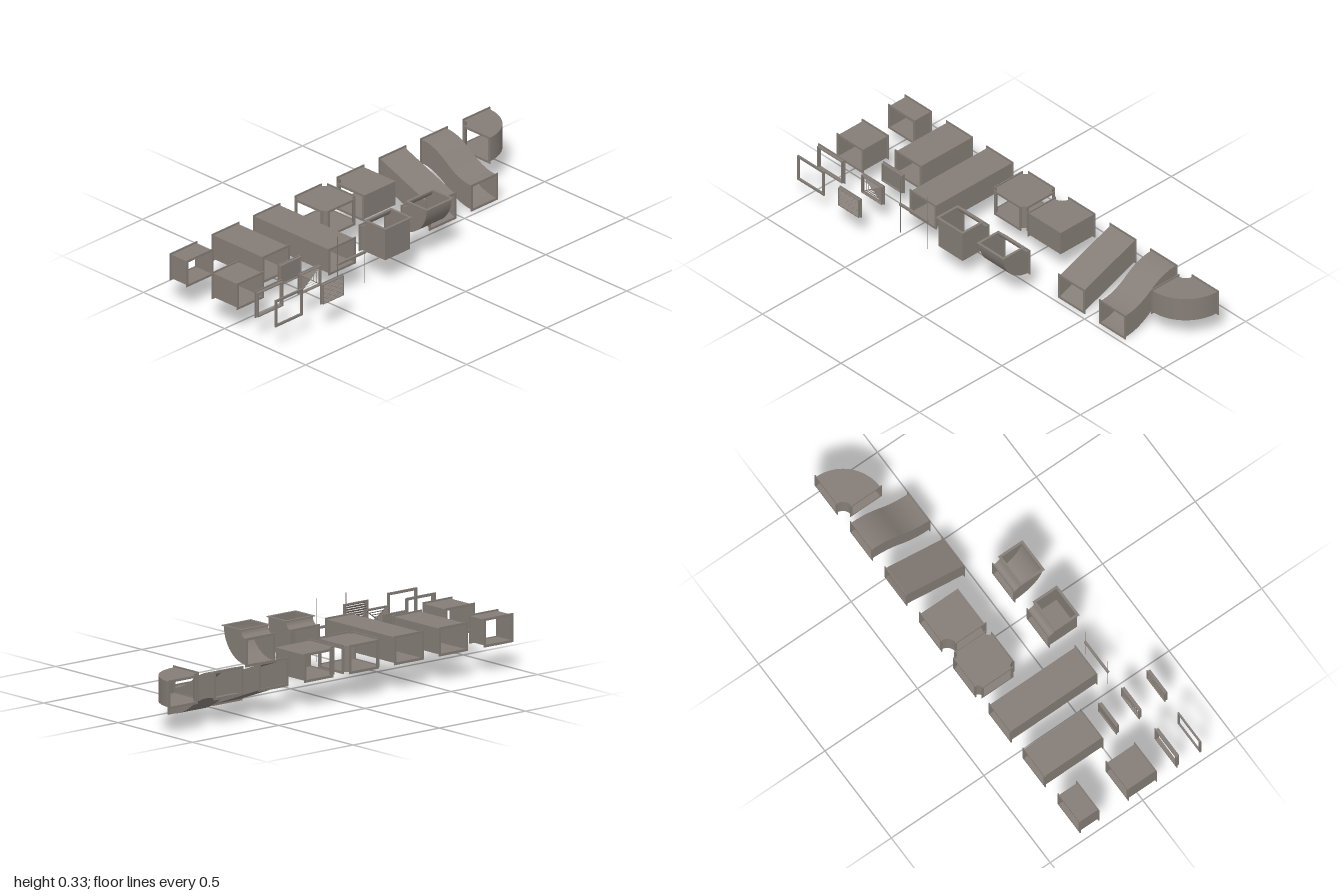
import * as THREE from 'three';
import { toCreasedNormals } from 'three/addons/utils/BufferGeometryUtils.js';

const metal = new THREE.MeshStandardMaterial({ color: 0x857d77, side: THREE.DoubleSide });
metal.name = 'galvanised metal';

const W = 0.155, H = 0.116, LIP = 0.0075; // duct width, height, flange overhang
const MID = 0.185; // height of the duct centre line

function add(parent, name, geometry, x = 0, y = 0, z = 0) {
  const mesh = new THREE.Mesh(geometry, metal);
  mesh.name = name;
  mesh.position.set(x, y, z);
  parent.add(mesh);
  return mesh;
}

// Rectangular ring, centred, lying across z
function ring(w, h, band, thick) {
  const rect = (S, a, b) => new S([[-a, -b], [a, -b], [a, b], [-a, b]].map(p => new THREE.Vector2(...p)));
  const shape = rect(THREE.Shape, w / 2, h / 2);
  shape.holes.push(rect(THREE.Path, w / 2 - band, h / 2 - band));
  return new THREE.ExtrudeGeometry(shape, { depth: thick, bevelEnabled: false }).translate(0, 0, -thick / 2);
}

function arc(cx, cy, r, a0, a1, n = 14) {
  return Array.from({ length: n + 1 }, (_, i) => {
    const a = a0 + (a1 - a0) * i / n;
    return [cx + r * Math.cos(a), cy + r * Math.sin(a)];
  });
}

// Sheet wall following a plan line, spanning the duct depth
function ribbon(points, depth) {
  const g = new THREE.PlaneGeometry(1, 1, points.length - 1, 1);
  const pos = g.attributes.position, n = points.length;
  for (let i = 0; i < pos.count; i++) {
    const [x, y] = points[i % n];
    pos.setXYZ(i, x, y, i < n ? depth / 2 : -depth / 2);
  }
  return toCreasedNormals(g, 0.6);
}

// Duct from wall lines in order round its plan; each gap between walls is a flanged opening
function duct(name, walls, depth) {
  const group = new THREE.Group();
  group.name = name;
  const outline = new THREE.Shape(walls.flat().map(p => new THREE.Vector2(...p)));
  for (const s of [-1, 1]) add(group, 'flatSide', new THREE.ShapeGeometry(outline), 0, 0, s * depth / 2);
  walls.forEach((wall, i) => {
    add(group, 'wall', ribbon(wall, depth));
    const a = new THREE.Vector3(...wall[wall.length - 1], 0);
    const b = new THREE.Vector3(...walls[(i + 1) % walls.length][0], 0);
    const size = a.distanceTo(b);
    const dir = b.clone().sub(a).normalize(), up = new THREE.Vector3(0, 0, 1);
    const g = ring(size + 2 * LIP, depth + 2 * LIP, LIP + 0.004, 0.004);
    g.applyMatrix4(new THREE.Matrix4().makeBasis(dir, up, dir.clone().cross(up)));
    const c = a.add(b).multiplyScalar(0.5);
    add(group, 'flange', g, c.x, c.y, 0);
  });
  return group;
}

// Quarter turn about the origin, rounded or square outside
function bendWalls(outer, inner, square) {
  const q = -Math.PI / 2;
  return [
    square ? [[outer, 0], [outer, -outer], [0, -outer]] : arc(0, 0, outer, 0, q, 20),
    arc(0, 0, inner, q, 0),
  ];
}

function crossWalls(half, w) {
  const walls = [];
  for (let k = 0; k < 4; k++) {
    const c = Math.round(Math.cos(k * Math.PI / 2)), s = Math.round(Math.sin(k * Math.PI / 2));
    walls.push(arc(half, half, half - w, 1.5 * Math.PI, Math.PI, 8)
      .map(([x, y]) => [x * c - y * s, x * s + y * c]));
  }
  return walls;
}

// Drop between two levels, straight or S-curved
function offsetWalls(curved) {
  const n = curved ? 24 : 1;
  const low = Array.from({ length: n + 1 }, (_, i) => {
    const t = i / n;
    const s = !curved ? t : t < 0.5 ? 2 * t * t : 1 - 2 * (1 - t) ** 2;
    return [-0.027 - 0.31 * t, 0.0085 + 0.1185 * s];
  });
  return [low, low.map(([z, y]) => [z, y + H]).reverse()];
}

export function createModel() {
  const model = new THREE.Group();
  model.name = 'ductKit';
  // Plan lies flat (u = x, v = -z)
  const flat = (name, walls, x, z = 0) => {
    const d = duct(name, walls, H);
    d.rotation.x = -Math.PI / 2;
    d.position.set(x, MID, z);
    model.add(d);
  };
  // Plan stands upright (u = z, v = y)
  const upright = (name, walls, x, y = 0, z = 0) => {
    const d = duct(name, walls, W);
    d.rotation.y = -Math.PI / 2;
    d.position.set(x, y, z);
    model.add(d);
  };

  // Straight ducts
  for (const [name, x, back, front] of [
    ['shortDuct', -0.915, -0.337, -0.237], ['mediumDuct', -0.915, -0.077, 0.075],
    ['longDuct', -0.652, -0.337, -0.027], ['longestDuct', -0.395, -0.337, 0.127],
  ]) {
    const w = W / 2;
    flat(name, [[[-w, -front], [-w, -back]], [[w, -back], [w, -front]]], x);
  }

  // Junction, level bends, rising bends and offsets
  flat('crossJunction', crossWalls(0.1025, W / 2), -0.1325, -0.2375);
  flat('squareElbow', bendWalls(0.202, 0.047, true), 0.003, -0.337);
  flat('roundElbow', bendWalls(0.202, 0.047, false), 0.79, -0.337);
  upright('squareRiser', bendWalls(0.154, 0.038, true), -0.1325, 0.281, 0.057);
  upright('roundRiser', bendWalls(0.154, 0.038, false), 0.1275, 0.281, 0.057);
  upright('straightOffset', offsetWalls(false), 0.39);
  upright('curvedOffset', offsetWalls(true), 0.65);

  // Loose joining frames
  add(model, 'collarFrame', ring(0.158, 0.119, 0.006, 0.018), -0.915, MID, 0.192);
  add(model, 'collarFrameLip', ring(0.17, 0.131, 0.012, 0.004), -0.915, MID, 0.186);
  add(model, 'flatFrame', ring(0.17, 0.131, 0.011, 0.008), -0.915, MID, 0.312);

  // Covers for duct ends: blank plate, four-way diffuser, louvre
  const cover = (name, z) => {
    const g = new THREE.Group();
    g.name = name;
    g.position.set(-0.655, MID, z);
    add(g, 'rim', ring(0.138, 0.102, 0.007, 0.004), 0, 0, -0.005);
    add(g, 'casing', ring(0.13, 0.096, 0.004, 0.014), 0, 0, 0.002);
    model.add(g);
    return g;
  };
  add(cover('blankCover', 0.062), 'plate', new THREE.BoxGeometry(0.128, 0.094, 0.004));

  const diffuser = cover('diffuser', 0.185);
  for (let i = 0; i < 4; i++) {
    const k = 1 - i * 0.25;
    const cone = new THREE.CylinderGeometry(Math.SQRT1_2 * (k - 0.16), Math.SQRT1_2 * k, 0.012, 4, 1, true);
    cone.rotateY(Math.PI / 4).rotateX(Math.PI / 2).scale(0.124, 0.09, 1);
    add(diffuser, 'vane', toCreasedNormals(cone, 0.5));
  }
  for (const s of [-1, 1]) {
    add(diffuser, 'diagonalBar', new THREE.BoxGeometry(0.153, 0.003, 0.006)).rotation.z = s * Math.atan2(0.09, 0.124);
  }

  const louvre = cover('louvre', 0.324);
  for (let i = 0; i < 9; i++) {
    add(louvre, 'slat', new THREE.BoxGeometry(0.124, 0.0015, 0.018), 0, -0.042 + i * 0.0105, 0.002).rotation.x = 0.65;
  }

  // Hanger: cross bar on two threaded rods
  const hanger = new THREE.Group();
  hanger.name = 'hanger';
  hanger.position.set(-0.395, MID, 0.184);
  add(hanger, 'crossBar', new THREE.BoxGeometry(0.178, 0.01, 0.011), 0, 0.01, 0);
  for (const s of [-1, 1]) {
    add(hanger, 'rod', new THREE.CylinderGeometry(0.0015, 0.0015, 0.288, 8), s * 0.085, 0.001, 0);
  }
  model.add(hanger);

  return model;
}
